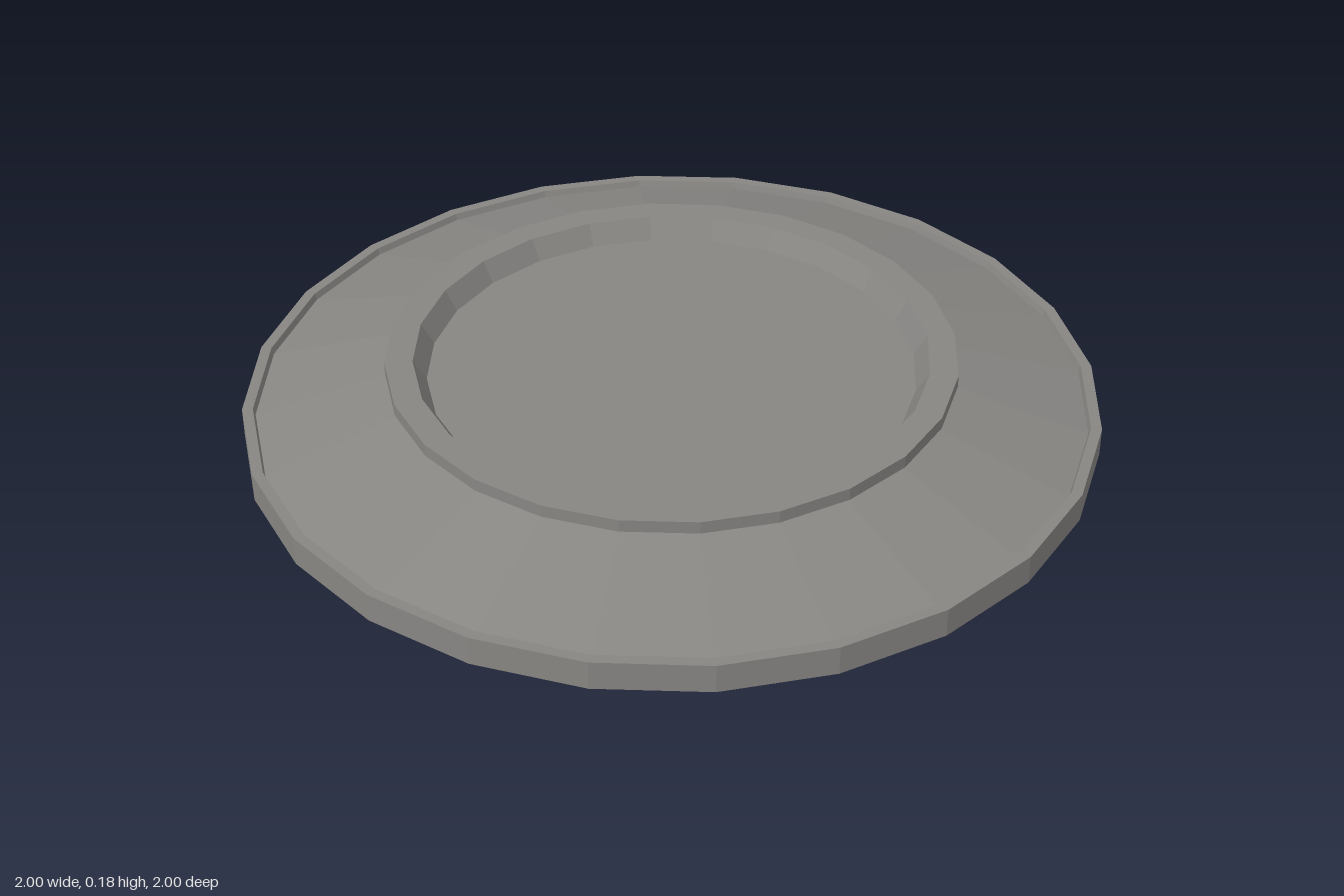
import * as THREE from 'three';

const SIDES = 24;

export function createModel() {
  const model = new THREE.Group();
  model.name = 'steppedDisc';
  const stone = new THREE.MeshStandardMaterial({ color: 0x888683 });
  stone.name = 'warm grey';

  // Faceted surface of revolution; profiles run from bottom centre, out and up to top centre
  const turn = (name, profile) => {
    const lathe = new THREE.LatheGeometry(profile.map(([r, y]) => new THREE.Vector2(r, y)), SIDES);
    const geometry = lathe.toNonIndexed();
    geometry.computeVertexNormals(); // flat facets
    const mesh = new THREE.Mesh(geometry, stone);
    mesh.name = name;
    model.add(mesh);
  };

  // Underside: recessed centre, foot ring and recessed outer ceiling
  turn('footRing', [[0, 0.05], [0.4, 0.05], [0.43, 0], [0.5, 0], [0.53, 0.05]]);
  turn('undersideCeiling', [[0.53, 0.05], [0.9, 0.05]]);
  // Outer rim with a tapered inner wall below and a small lip above
  turn('outerRim', [[0.9, 0.05], [0.935, 0], [1, 0], [1, 0.07], [0.975, 0.07], [0.97, 0.054]]);
  // Sloping shoulder up to the collar
  turn('shoulder', [[0.97, 0.054], [0.655, 0.15]]);
  // Raised collar with a tapered inner wall
  turn('collar', [[0.655, 0.15], [0.665, 0.15], [0.665, 0.18], [0.6, 0.18], [0.57, 0.13]]);
  // Sunken floor
  turn('sunkenFloor', [[0.57, 0.13], [0, 0.13]]);

  return model;
}
